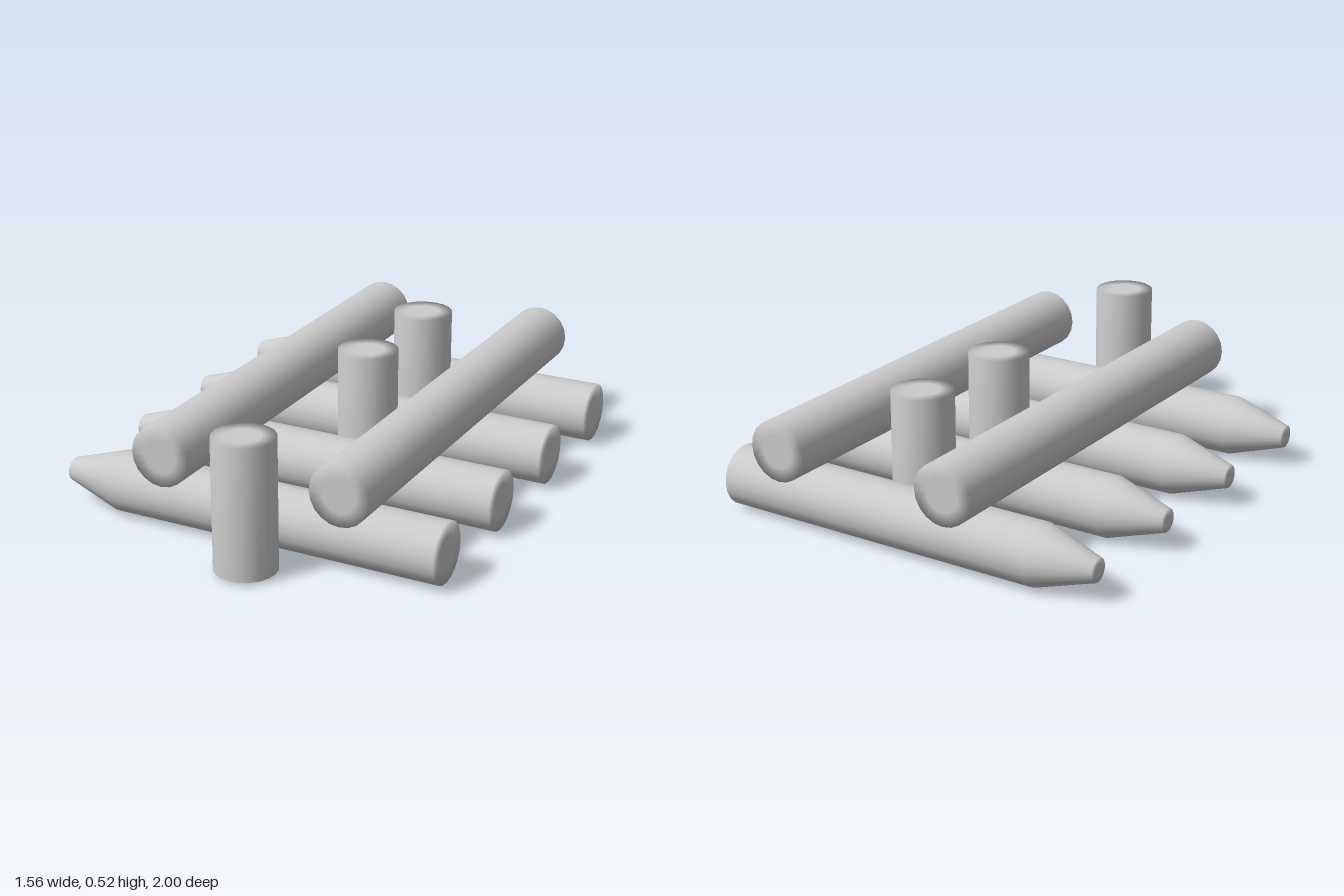
import * as THREE from 'three';

const SIDES = 20;
const R = 0.118; // shared log radius

// Smooth turned log from [radius, height] pairs, running up the y axis
function turned(profile) {
  return new THREE.LatheGeometry(profile.map(([r, y]) => new THREE.Vector2(r, y)), SIDES);
}

export function createModel() {
  const group = new THREE.Group();
  const material = new THREE.MeshStandardMaterial({ color: 0xcccccc });
  const openMaterial = new THREE.MeshStandardMaterial({ color: 0xcccccc, side: THREE.DoubleSide });

  function add(name, geometry, mat, x, y, z) {
    const mesh = new THREE.Mesh(geometry, mat);
    mesh.name = name;
    mesh.position.set(x, y, z);
    group.add(mesh);
  }

  // Sharpened logs lying side to side, points towards -x
  const stake = turned([
    [0, -0.78], [0.02, -0.78], [0.045, -0.78], [R, -0.55],
    [R, 0.78], [R * 0.55, 0.78], [0, 0.78],
  ]).rotateZ(-Math.PI / 2);
  [-0.81, -0.325, 0.155, 0.64].forEach((z, i) => add(`sharpenedLog${i + 1}`, stake, material, 0, 0.122, z));

  // Two long beams resting across the logs
  const beam = turned([
    [0, -0.915], [R * 0.55, -0.915], [R, -0.915],
    [R, 0.915], [R * 0.55, 0.915], [0, 0.915],
  ]).rotateX(Math.PI / 2);
  [-0.27, 0.455].forEach((x, i) => add(`crossBeam${i + 1}`, beam, material, x, 0.348, -0.085));

  // Upright posts, open underneath
  const post = turned([[R, 0], [R, 0.51], [R * 0.55, 0.51], [0, 0.51]]);
  [-0.58, -0.08, 0.88].forEach((z, i) => add(`post${i + 1}`, post, openMaterial, 0.11, 0.015, z));

  return group;
}
